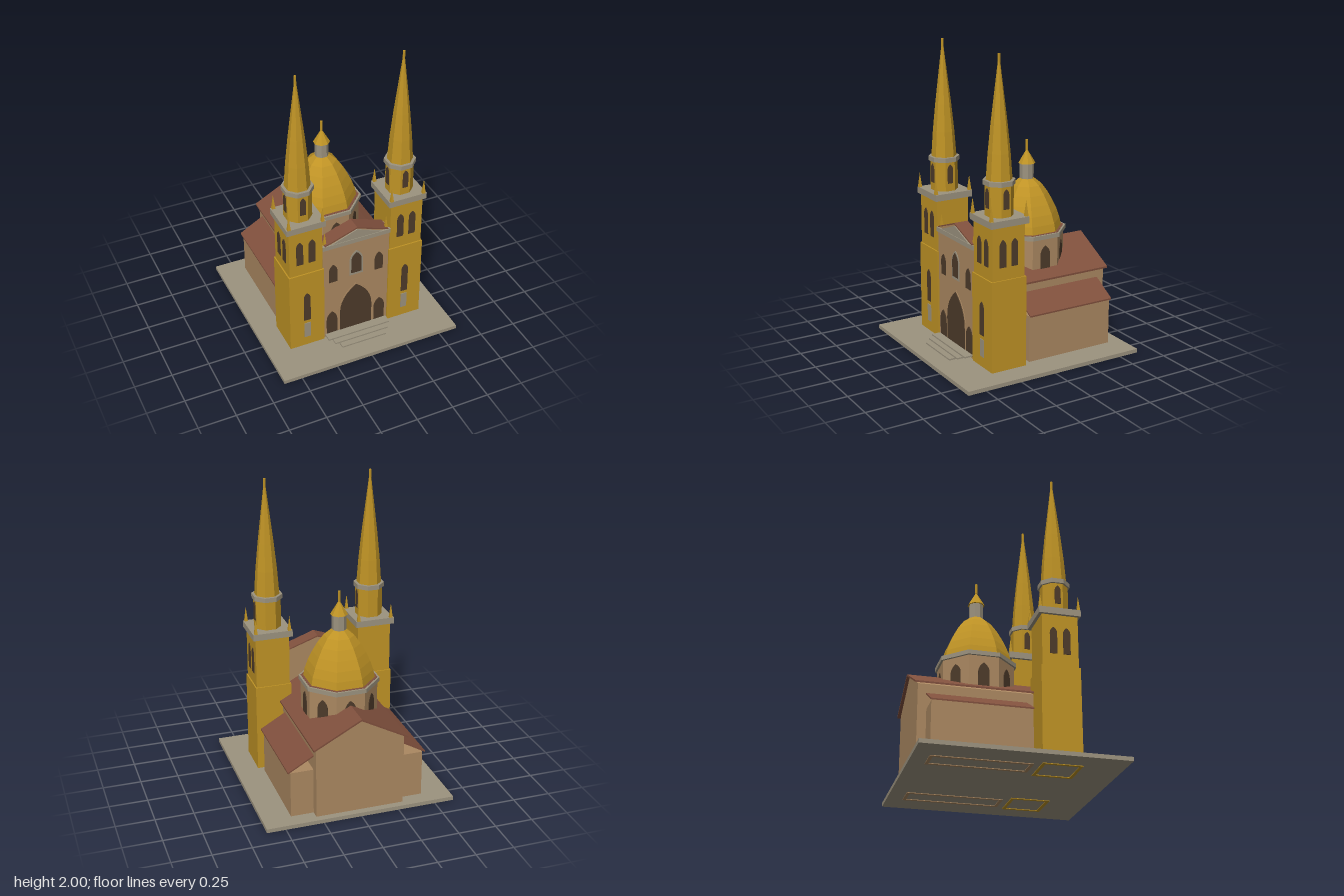
import * as THREE from 'three';
import { mergeGeometries } from 'three/addons/utils/BufferGeometryUtils.js';

const mat = (name, color) => {
  const m = new THREE.MeshStandardMaterial({ color, flatShading: true });
  m.name = name;
  return m;
};

export function createModel() {
  const gold = mat('gold stone', 0xbf9325);
  const tan = mat('tan wall', 0xab8861);
  const grey = mat('grey trim', 0x9c937f);
  const red = mat('roof tile', 0x80503d);
  const dark = mat('dark opening', 0x4d3b2a);

  const root = new THREE.Group();
  root.name = 'church';

  const add = (parent, name, geo, material) => {
    const mesh = new THREE.Mesh(geo, material);
    mesh.name = name;
    parent.add(mesh);
    return mesh;
  };
  const group = (name, x = 0, z = 0) => {
    const g = new THREE.Group();
    g.name = name;
    g.position.set(x, 0, z);
    root.add(g);
    return g;
  };

  // Box given by its extents
  const box = (x0, x1, y0, y1, z0, z1) =>
    new THREE.BoxGeometry(x1 - x0, y1 - y0, z1 - z0)
      .translate((x0 + x1) / 2, (y0 + y1) / 2, (z0 + z1) / 2);

  // Octagonal frustum with flats facing the axes; sizes are half widths
  const oct = (a0, a1, y0, y1, open = false) => {
    const k = 1 / Math.cos(Math.PI / 8);
    return new THREE.CylinderGeometry(a1 * k, a0 * k, y1 - y0, 8, 1, open)
      .rotateY(Math.PI / 8).translate(0, (y0 + y1) / 2, 0);
  };
  const octProfile = (p) => mergeGeometries(
    p.slice(1).map(([a, y], i) => oct(p[i][0], a, p[i][1], y, true)));

  // Flat outline in xy pushed along z
  const prism = (pts, z0, z1) => new THREE.ExtrudeGeometry(
    new THREE.Shape(pts.map(([x, y]) => new THREE.Vector2(x, y))),
    { depth: z1 - z0, bevelEnabled: false }).translate(0, 0, z0);

  // Pointed arch plate, its back at z = 0
  const arch = (w, y0, y1, depth = 0.004) => {
    const h = w / 2, spring = y1 - Math.min(w * 0.9, (y1 - y0) * 0.6);
    const s = new THREE.Shape();
    s.moveTo(-h, y0);
    s.lineTo(h, y0);
    s.lineTo(h, spring);
    s.quadraticCurveTo(h, spring + (y1 - spring) * 0.6, 0, y1);
    s.quadraticCurveTo(-h, spring + (y1 - spring) * 0.6, -h, spring);
    return new THREE.ExtrudeGeometry(s, { depth, bevelEnabled: false, curveSegments: 6 });
  };
  // Plate on a wall at the given distance, turned about y
  const onWall = (geo, x, dist, angle = 0) => geo.translate(x, 0, dist).rotateY(angle);

  const pinnacle = (parent, x, y, z) => add(parent, 'pinnacle',
    new THREE.ConeGeometry(0.015, 0.1, 4).rotateY(Math.PI / 4).translate(x, y + 0.05, z), gold);

  // Hollow footing that shows under the base
  const footing = (parent, x0, x1, z0, z1, m) => {
    const t = 0.02;
    add(parent, 'footing', mergeGeometries([
      box(x0, x1, 0, 0.01, z0, z0 + t), box(x0, x1, 0, 0.01, z1 - t, z1),
      box(x0, x0 + t, 0, 0.01, z0 + t, z1 - t), box(x1 - t, x1, 0, 0.01, z0 + t, z1 - t),
    ]), m);
  };

  // Base and entrance steps
  add(root, 'base', box(-0.625, 0.625, 0.004, 0.03, -0.63, 0.63), grey);
  [[0.222, 0.05, 0.37, 0.43], [0.192, 0.04, 0.42, 0.468], [0.16, 0.03, 0.458, 0.508]]
    .forEach(([w, y, z0, z1]) => add(root, 'step', box(-w, w, y, y + 0.01, z0, z1), grey));

  // Nave with gabled roof
  const nave = group('nave');
  add(nave, 'naveWalls', prism(
    [[-0.29, 0.03], [0.29, 0.03], [0.29, 0.5], [0, 0.662], [-0.29, 0.5]], -0.585, 0.3), tan);
  add(nave, 'naveRoof', prism(
    [[-0.31, 0.498], [0, 0.663], [0.31, 0.498], [0.31, 0.51], [0, 0.675], [-0.31, 0.51]],
    -0.604, 0.3), red);

  // Side aisles with lean-to roofs
  for (const s of [-1, 1]) {
    const aisle = group(s > 0 ? 'leftAisle' : 'rightAisle');
    const [x0, x1] = s > 0 ? [0.28, 0.44] : [-0.44, -0.28];
    add(aisle, 'aisleWalls', box(x0, x1, 0.03, 0.338, -0.53, 0.085), tan);
    const pts = [[s * 0.285, 0.435], [s * 0.457, 0.336], [s * 0.457, 0.346], [s * 0.285, 0.445]];
    add(aisle, 'aisleRoof', prism(pts, -0.535, 0.088), red);
    footing(aisle, x0, x1, -0.53, 0.085, tan);
  }

  // Front wall between the towers
  const facade = group('facade');
  const F = 0.365;
  add(facade, 'frontWall', prism(
    [[-0.235, 0.03], [0.235, 0.03], [0.235, 0.79], [0, 0.872], [-0.235, 0.79]], 0.28, F), tan);
  add(facade, 'gableRoof', prism(
    [[-0.222, 0.795], [0, 0.872], [0.222, 0.795], [0.222, 0.803], [0, 0.882], [-0.222, 0.803]],
    0.275, 0.374), red);
  add(facade, 'pediment', prism([[-0.19, 0.79], [0.19, 0.79], [0, 0.862]], F, F + 0.007), grey);
  add(facade, 'frontCornice', box(-0.238, 0.238, 0.765, 0.795, 0.355, 0.376), grey);
  add(facade, 'doorSurround', onWall(arch(0.25, 0.03, 0.425, 0.003), 0, F), tan);
  add(facade, 'mainDoor', onWall(arch(0.228, 0.04, 0.415, 0.007), 0, F), dark);
  add(facade, 'windowFrame', onWall(arch(0.096, 0.5, 0.695), 0, F), grey);
  add(facade, 'centreWindow', onWall(arch(0.072, 0.518, 0.68, 0.007), 0, F), dark);
  for (const s of [-1, 1]) {
    add(facade, 'sideDoor', onWall(arch(0.074, 0.04, 0.237, 0.006), s * 0.172, F), dark);
    add(facade, 'sideWindow', onWall(arch(0.058, 0.487, 0.627), s * 0.163, F), dark);
    pinnacle(facade, s * 0.215, 0.79, 0.35);
  }

  // Twin towers
  for (const s of [-1, 1]) {
    const tower = group(s > 0 ? 'leftTower' : 'rightTower', s * 0.352, 0.252);
    add(tower, 'towerShaft', box(-0.121, 0.121, 0.03, 0.625, -0.123, 0.125), gold);
    add(tower, 'bellStage', box(-0.113, 0.113, 0.625, 0.97, -0.114, 0.116), gold);
    add(tower, 'towerCornice', box(-0.132, 0.132, 0.967, 1.01, -0.135, 0.132), grey);
    footing(tower, -0.121, 0.121, -0.123, 0.125, gold);
    add(tower, 'lowWindow', onWall(arch(0.046, 0.243, 0.467), 0, 0.125), dark);
    add(tower, 'lowPanel', box(-0.022, 0.022, 0.1, 0.217, 0.125, 0.129), grey);

    // Paired openings on the front and outer sides
    for (const [angle, dist] of [[0, 0.116], [s * Math.PI / 2, 0.113]])
      for (const dx of [-0.042, 0.042])
        add(tower, 'bellWindow', onWall(arch(0.046, 0.707, 0.884), dx, dist, angle), dark);

    for (const x of [-0.113, 0.113])
      for (const z of [-0.124, 0.122]) pinnacle(tower, x, 1.01, z);

    // Octagonal belfry and spire
    add(tower, 'belfry', oct(0.083, 0.083, 1.01, 1.21), gold);
    for (const angle of [0, Math.PI / 2, -Math.PI / 2])
      add(tower, 'belfryWindow', onWall(arch(0.038, 1.062, 1.188), 0, 0.083, angle), dark);
    add(tower, 'belfryRing', oct(0.094, 0.094, 1.205, 1.235), grey);
    add(tower, 'spire', octProfile(
      [[0.076, 1.235], [0.065, 1.4], [0.048, 1.58], [0.027, 1.77], [0.007, 1.95]]), gold);
    add(tower, 'finial', new THREE.CylinderGeometry(0.008, 0.008, 0.07, 8).translate(0, 1.965, 0), gold);
  }

  // Drum, dome and lantern over the nave
  const dome = group('dome', 0, -0.167);
  add(dome, 'drum', oct(0.228, 0.228, 0.545, 0.755), tan);
  for (let i = 0; i < 8; i++)
    add(dome, 'drumWindow', onWall(arch(0.072, 0.548, 0.705), 0, 0.228, i * Math.PI / 4), dark);
  add(dome, 'drumCornice', oct(0.241, 0.241, 0.75, 0.778), grey);
  add(dome, 'drumTop', oct(0.228, 0.228, 0.77, 0.78), red);
  add(dome, 'domeShell', octProfile([[0.213, 0.778], [0.203, 0.83], [0.184, 0.89],
    [0.158, 0.95], [0.127, 1.01], [0.09, 1.065], [0.045, 1.105], [0.01, 1.11]]), gold);
  add(dome, 'lantern', oct(0.043, 0.043, 1.1, 1.207), grey);
  add(dome, 'lanternRoof', oct(0.052, 0.003, 1.205, 1.295), gold);
  add(dome, 'domeFinial', new THREE.CylinderGeometry(0.009, 0.009, 0.07, 8).translate(0, 1.325, 0), gold);

  return root;
}
